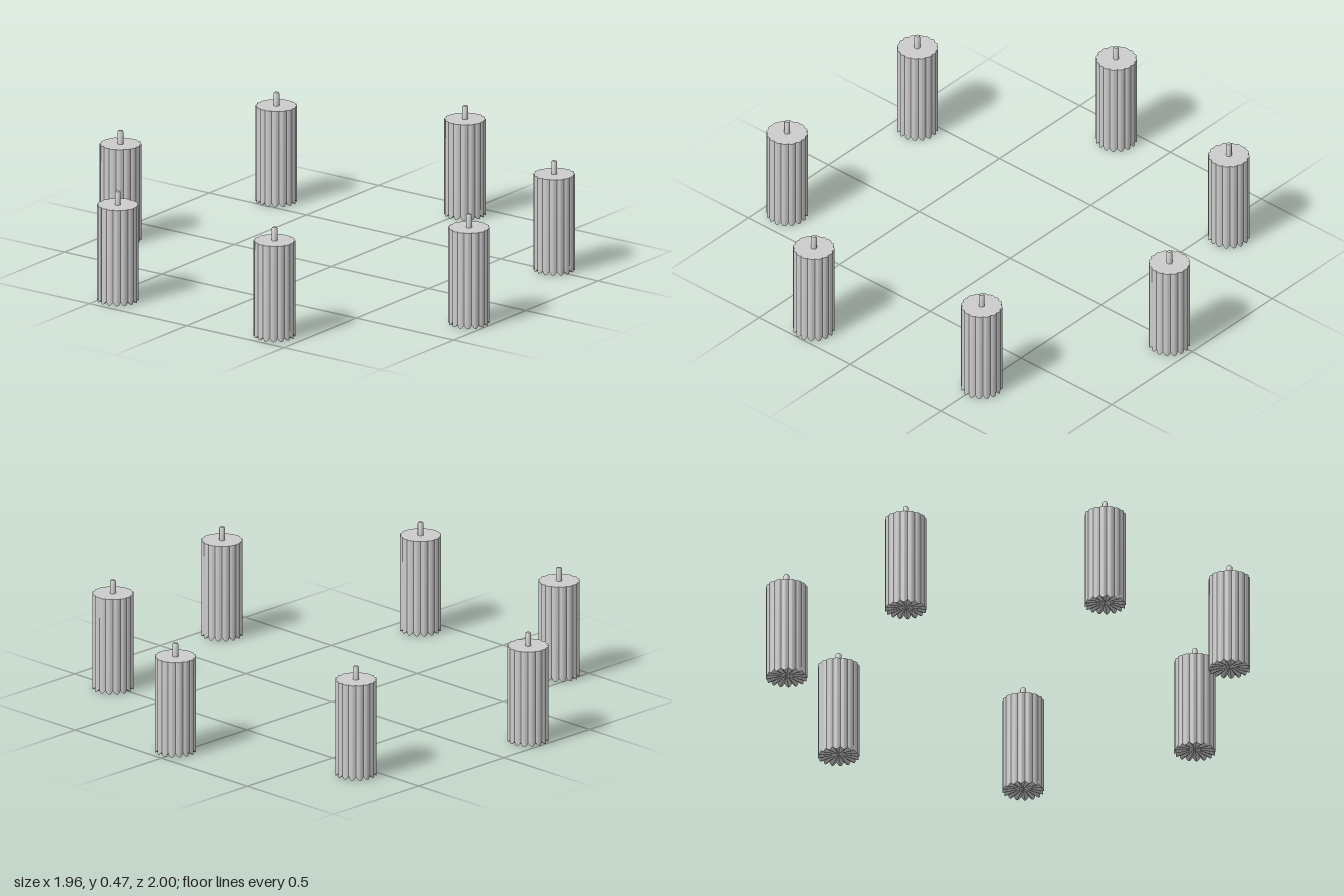
import * as THREE from 'three';
import { toCreasedNormals } from 'three/addons/utils/BufferGeometryUtils.js';

const FLUTES = 16, RADIUS = 0.086, DEPTH = 0.006, HEIGHT = 0.415, PLEAT = 0.015;

// Candle centres as [x, z], arranged in a loose ring
const SPOTS = [
  [0.895, 0.022], [0.515, 0.763], [-0.276, 0.913], [-0.897, 0.375],
  [-0.893, -0.434], [-0.225, -0.917], [0.576, -0.711],
];

// Fluted cylinder: ribs bulge outwards, and the underside is pleated to match
function fluted() {
  const geo = new THREE.CylinderGeometry(RADIUS, RADIUS, HEIGHT, FLUTES * 6, 1);
  geo.translate(0, HEIGHT / 2, 0);
  const p = geo.attributes.position;
  for (let i = 0; i < p.count; i++) {
    const x = p.getX(i), z = p.getZ(i), y = p.getY(i);
    const onRim = Math.hypot(x, z) > 0.01;
    const rib = onRim ? Math.abs(Math.sin(Math.atan2(x, z) * FLUTES / 2)) : 0;
    const k = 1 - (DEPTH / RADIUS) * (1 - rib);
    p.setXYZ(i, x * k, y < 0.01 ? PLEAT * (1 - rib) : y, z * k);
  }
  return toCreasedNormals(geo, 0.6);
}

// Short wick with a slightly rounded tip
function wickShape() {
  const pts = [[0.012, HEIGHT - 0.01], [0.012, 0.467], [0.009, 0.472], [0, 0.473]];
  return toCreasedNormals(
    new THREE.LatheGeometry(pts.map(([r, y]) => new THREE.Vector2(r, y)), 14), 0.7);
}

export function createModel() {
  const model = new THREE.Group();
  model.name = 'candleRing';
  const material = new THREE.MeshStandardMaterial({ color: 0xcccccc });
  const bodyGeo = fluted(), wickGeo = wickShape();

  SPOTS.forEach(([x, z], i) => {
    const candle = new THREE.Group();
    candle.name = `candle${i + 1}`;
    const body = new THREE.Mesh(bodyGeo, material);
    body.name = 'candleBody';
    const wick = new THREE.Mesh(wickGeo, material);
    wick.name = 'wick';
    candle.add(body, wick);
    candle.position.set(x, 0, z);
    model.add(candle);
  });
  return model;
}
